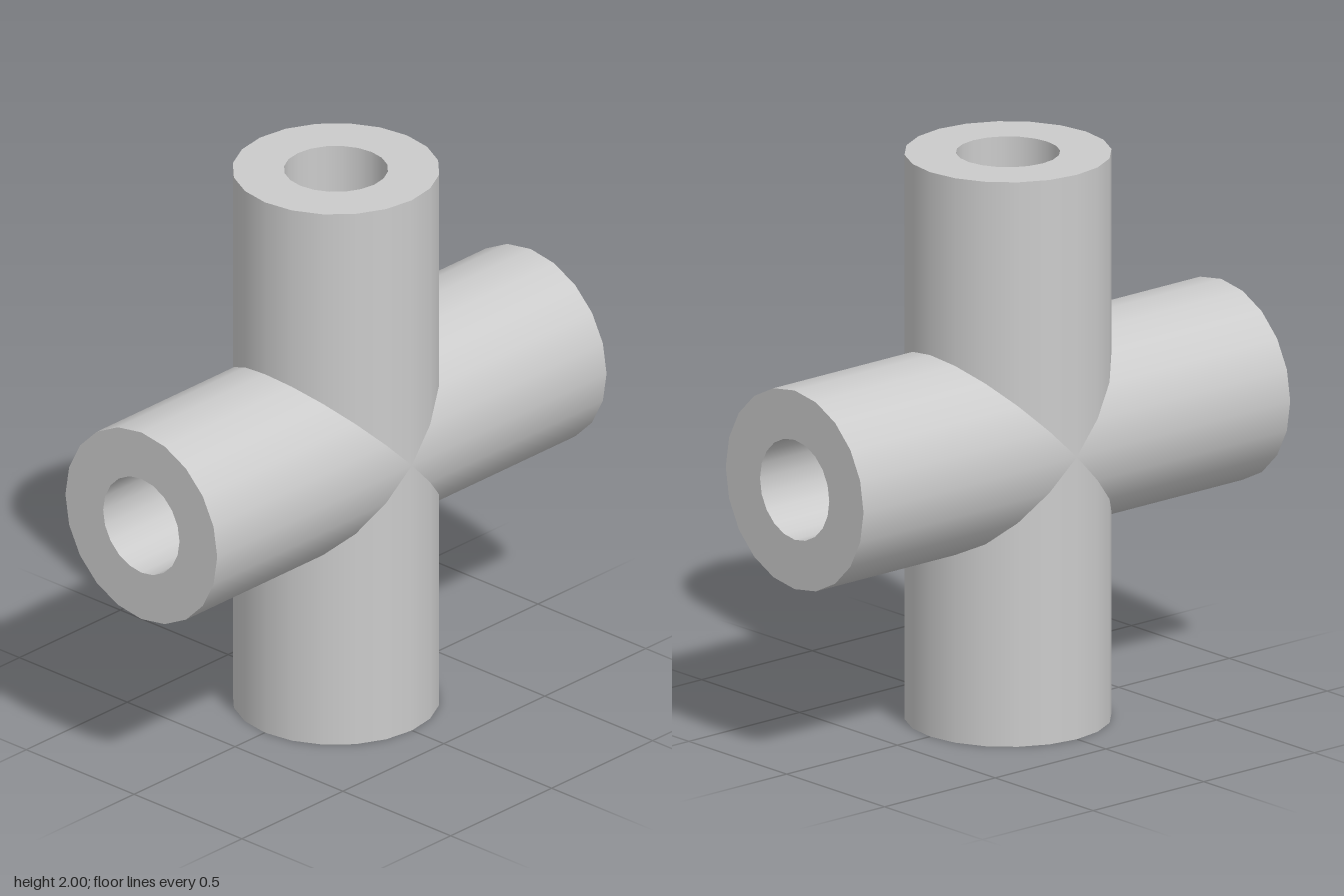
import * as THREE from 'three';
import { mergeGeometries } from 'three/addons/utils/BufferGeometryUtils.js';

const OUTER = 0.352, BORE = 0.177, SIDES = 20;

// Thick-walled tube along y; each wall is its own lathe so rims stay sharp
function tube(name, length, material) {
  const h = length / 2;
  const profile = [[BORE, -h], [OUTER, -h], [OUTER, h], [BORE, h]]
    .map(([r, y]) => new THREE.Vector2(r, y));
  const walls = profile.map((p, i) =>
    new THREE.LatheGeometry([p, profile[(i + 1) % profile.length]], SIDES));
  const mesh = new THREE.Mesh(mergeGeometries(walls), material);
  mesh.name = name;
  mesh.position.y = 1;
  return mesh;
}

export function createModel() {
  const model = new THREE.Group();
  model.name = 'crossPipe';
  const material = new THREE.MeshStandardMaterial({ color: 0xcccccc });

  // Upright pipe
  model.add(tube('verticalPipe', 2, material));

  // Slightly shorter pipe crossing it at mid height
  const cross = tube('horizontalPipe', 1.928, material);
  cross.rotation.z = Math.PI / 2;
  model.add(cross);

  return model;
}
